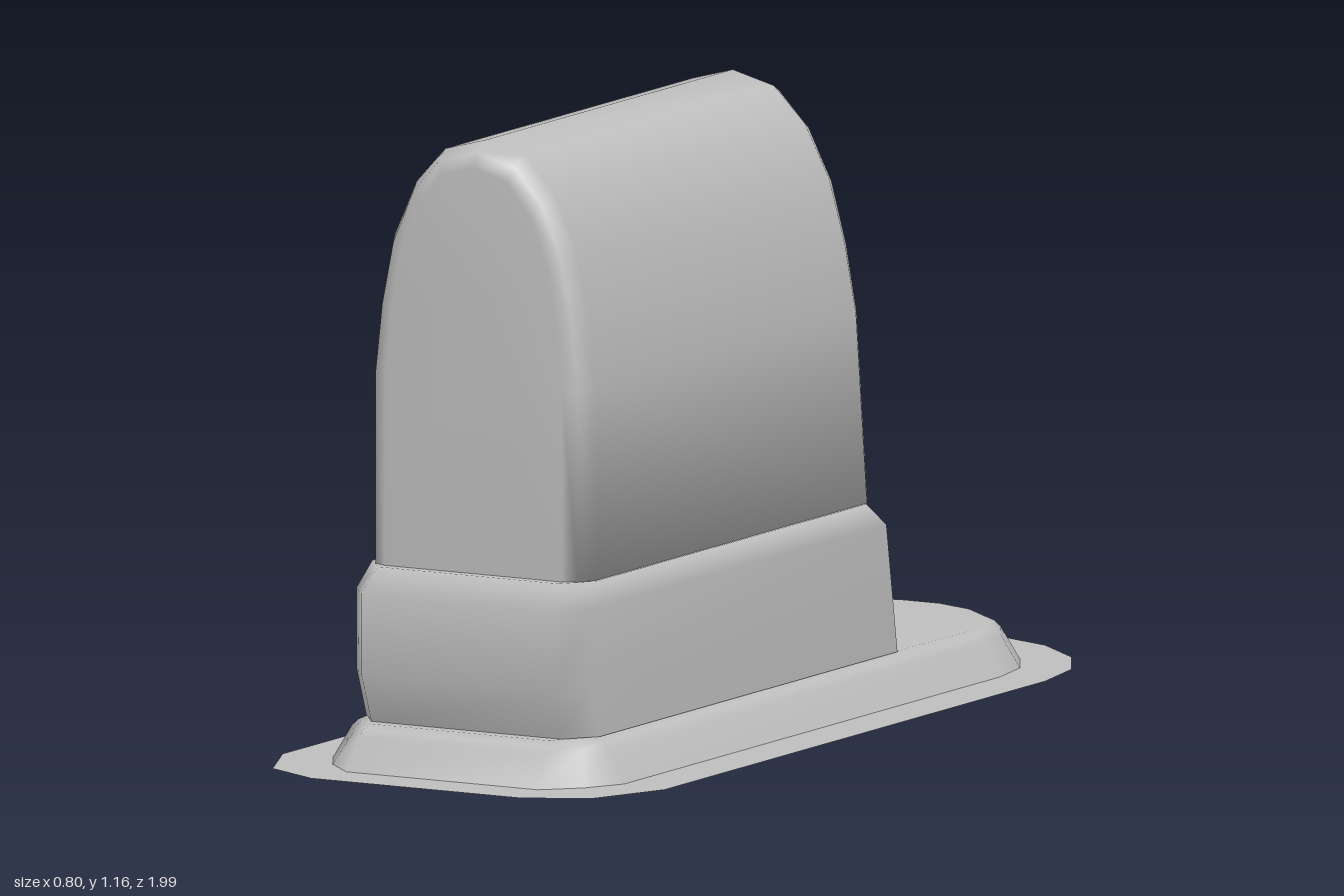
import * as THREE from 'three';

const grey = new THREE.MeshStandardMaterial({ color: 0xbfbfbf, side: THREE.DoubleSide });
grey.name = 'light grey';

// Joins equal-length closed rings of [x, y, z] points, with optional fan caps
function loft(rings, capStart = false, capEnd = false) {
  const n = rings[0].length;
  const pos = rings.flat(2);
  const index = [];
  for (let r = 0; r < rings.length - 1; r++) {
    for (let i = 0; i < n; i++) {
      const j = (i + 1) % n;
      const a = r * n + i, b = r * n + j, c = b + n, d = a + n;
      index.push(a, b, c, a, c, d);
    }
  }
  const cap = (r, flip) => {
    const centre = pos.length / 3;
    for (let k = 0; k < 3; k++) pos.push(rings[r].reduce((s, p) => s + p[k], 0) / n);
    for (let i = 0; i < n; i++) {
      const a = r * n + i, b = r * n + (i + 1) % n;
      if (flip) index.push(b, a, centre);
      else index.push(a, b, centre);
    }
  };
  if (capStart) cap(0, true);
  if (capEnd) cap(rings.length - 1, false);
  const g = new THREE.BufferGeometry();
  g.setAttribute('position', new THREE.Float32BufferAttribute(pos, 3));
  g.setIndex(index);
  g.computeVertexNormals();
  return g;
}

// Base outline inset by d: round at the back, chamfered at the front
function baseRing(d, y) {
  const w = 0.4 - d;
  const ring = [[w, y, 0.79 - d * 0.2]];
  for (let i = 0; i <= 9; i++) {
    const t = (i / 9) * Math.PI;
    ring.push([w * Math.cos(t), y, -0.6 - w * Math.sin(t)]);
  }
  const front = [[0.335 - d * 0.75, 0.94 - d], [0.22 - d * 0.2, 1 - d]];
  ring.push([-w, y, 0.79 - d * 0.2]);
  front.forEach(([x, z]) => ring.push([-x, y, z]));
  front.reverse().forEach(([x, z]) => ring.push([x, y, z]));
  return ring;
}

// Collar outline: a rectangle with chamfered corners
function collarRing(y, hw, front, back) {
  const c = 0.045, right = [[hw, front - 0.06], [hw, back + 0.055], [hw - c, back]];
  const left = [[-hw + c, back], [-hw, back + 0.055], [-hw, front - 0.06], [-hw + c, front]];
  return [...right, ...left, [hw - c, front]].map(([x, z]) => [x, y, z]);
}

// Arched section of the upper housing, inset by d, with z given as a rule of y
function archRing(d, zAt) {
  const half = [[0.23, 0.36], [0.23, 0.72], [0.215, 0.85], [0.19, 0.97], [0.145, 1.07], [0.085, 1.135]];
  const mirrored = half.map(([x, y]) => [-x, y]).reverse();
  return [...half, [0, 1.158], ...mirrored].map(([x, y]) => {
    const px = x * (1 - d / 0.23);
    const py = y - d * Math.max(0, (y - 0.72) / 0.438);
    return [px, py, zAt(py)];
  });
}

export function createModel() {
  const model = new THREE.Group();
  const add = (name, geometry) => {
    const mesh = new THREE.Mesh(geometry, grey);
    mesh.name = name;
    model.add(mesh);
    return mesh;
  };

  // Thin flat flange and the hollow raised base
  add('flange', loft([baseRing(0, 0), baseRing(0.095, 0)]));
  add('raisedBase', loft([
    baseRing(0.095, 0), baseRing(0.13, 0.06), baseRing(0.142, 0.072), baseRing(0.16, 0.08),
  ], false, true));

  // Collar with an undercut at the front
  add('collar', loft([
    collarRing(0.08, 0.245, 0.815, -0.385),
    collarRing(0.17, 0.245, 0.85, -0.37),
    collarRing(0.32, 0.245, 0.85, -0.345),
    collarRing(0.365, 0.235, 0.81, -0.29),
  ], false, true));

  // Upper housing with bevelled ends and a leaning back
  const back = (y) => -0.29 + (y - 0.365) * 0.113;
  add('upperHousing', loft([
    archRing(0.045, back),
    archRing(0.018, (y) => back(y) + 0.012),
    archRing(0, (y) => back(y) + 0.045),
    archRing(0, () => 0.745),
    archRing(0.018, () => 0.778),
    archRing(0.045, () => 0.79),
  ], true, true));

  // Forked rail beneath the base
  const fork = new THREE.Shape([
    [0.18, -0.8], [0.18, 0.28], [0.15, 0.31], [0.05, 0.31], [0.05, -0.53],
    [-0.05, -0.53], [-0.05, 0.31], [-0.15, 0.31], [-0.18, 0.28], [-0.18, -0.8],
  ].map(([x, y]) => new THREE.Vector2(x, y)));
  const rail = new THREE.ExtrudeGeometry(fork, { depth: 0.075, bevelEnabled: false });
  add('undersideRail', rail.rotateX(-Math.PI / 2)).position.y = 0.003;

  return model;
}
